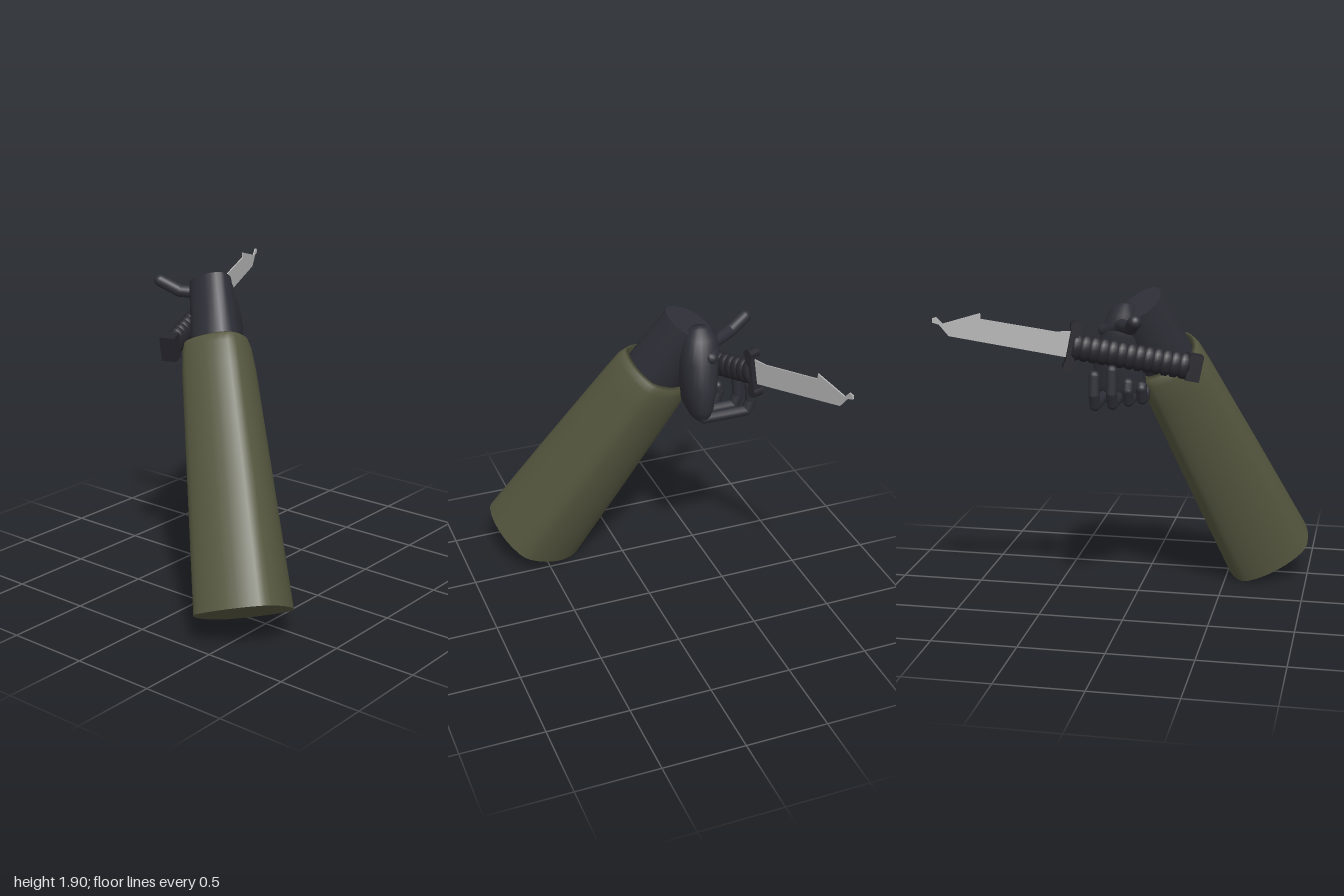
import * as THREE from 'three';

const V = (x, y, z) => new THREE.Vector3(x, y, z);
const mat = (name, color) => {
  const m = new THREE.MeshStandardMaterial({ color });
  m.name = name;
  return m;
};

// Skin of rings [centre, radius along u, radius along v]; p is the superellipse power
function loft(rings, u, v, p = 2, n = 24) {
  const pos = [], idx = [];
  const pw = (c) => Math.sign(c) * Math.pow(Math.abs(c), 2 / p);
  for (const [c, a, b] of rings) {
    for (let i = 0; i < n; i++) {
      const t = (i / n) * Math.PI * 2;
      const q = c.clone().addScaledVector(u, a * pw(Math.cos(t))).addScaledVector(v, b * pw(Math.sin(t)));
      pos.push(q.x, q.y, q.z);
    }
  }
  for (let r = 0; r < rings.length - 1; r++) {
    for (let i = 0; i < n; i++) {
      const a = r * n + i, b = r * n + ((i + 1) % n);
      idx.push(a, a + n, b, b, a + n, b + n);
    }
  }
  const g = new THREE.BufferGeometry();
  g.setAttribute('position', new THREE.Float32BufferAttribute(pos, 3));
  g.setIndex(idx);
  g.computeVertexNormals();
  return g;
}

export function createModel() {
  const model = new THREE.Group();
  model.name = 'armWithKnife';
  const olive = mat('olive cloth', 0x565840);
  const glove = mat('dark glove', 0x2e2e37);
  const grip = mat('black grip', 0x26262d);
  const steel = mat('steel', 0xb6b6b6);

  const add = (parent, name, geo, m) => {
    const mesh = new THREE.Mesh(geo, m);
    mesh.name = name;
    parent.add(mesh);
    return mesh;
  };

  // Forearm frame: axis runs from the elbow end up to the wrist
  const u = V(0.785, 0.5, 0.369).normalize();
  const v = V(-0.476, 0.136, 0.867).normalize();
  const axis = V(-0.411, 0.845, -0.345);
  const at = (t) => V(0.53, 0.165, 0.735).addScaledVector(axis, t);
  const ring = ([t, a, b]) => [at(t), a, b];

  // Sleeve with a closed elbow end and a turned-in cuff
  add(model, 'sleeve', loft([
    [0, 0, 0], [0, 0.325, 0.295], [0, 0.325, 0.295], [0.7, 0.29, 0.26], [1.4, 0.25, 0.225],
    [1.53, 0.24, 0.21], [1.58, 0.222, 0.195], [1.59, 0.198, 0.175], [1.48, 0.19, 0.165],
  ].map(ring), u, v, 1.55, 32), olive);

  // Wrist with a flat end
  add(model, 'wrist', loft([
    [1.4, 0.185, 0.15], [1.6, 0.182, 0.148], [1.96, 0.168, 0.122], [1.96, 0.168, 0.122], [1.96, 0, 0],
  ].map(ring), u, v, 1.75), glove);

  // Hand: palm lofted from the knuckles up to the wrist
  const hand = new THREE.Group();
  hand.name = 'hand';
  model.add(hand);
  add(hand, 'palm', loft([
    [V(-0.29, 1.27, -0.05), 0, 0],
    [V(-0.29, 1.28, -0.05), 0.05, 0.11],
    [V(-0.28, 1.36, -0.05), 0.08, 0.15],
    [V(-0.28, 1.5, -0.06), 0.1, 0.148],
    [V(-0.29, 1.65, -0.04), 0.11, 0.122],
    [V(-0.3, 1.78, -0.03), 0.1, 0.085],
    [V(-0.3, 1.83, -0.02), 0.05, 0.04],
    [V(-0.3, 1.835, -0.02), 0, 0],
  ], V(1, 0, 0), V(0, 0, 1), 2.2), glove);

  // Each digit is a chain of rounded segments
  const digit = (name, pts, r) => {
    const g = new THREE.Group();
    g.name = name;
    hand.add(g);
    for (let i = 0; i < pts.length - 1; i++) {
      const a = V(...pts[i]), b = V(...pts[i + 1]);
      const d = b.clone().sub(a);
      const m = add(g, 'segment', new THREE.CapsuleGeometry(r, d.length(), 5, 12), glove);
      m.position.copy(a).add(b).multiplyScalar(0.5);
      m.quaternion.setFromUnitVectors(V(0, 1, 0), d.normalize());
    }
  };
  const fingers = [
    ['indexFinger', -0.14, -0.575, 1.465], ['middleFinger', -0.05, -0.53, 1.49],
    ['ringFinger', 0.025, -0.44, 1.4], ['littleFinger', 0.09, -0.37, 1.37],
  ];
  for (const [name, z, x, tip] of fingers) {
    digit(name, [[-0.26, 1.35, z], [-0.29, 1.295, z], [x + 0.015, 1.295, z], [x - 0.01, 1.36, z], [x, tip, z]], 0.032);
  }
  digit('thumb', [[-0.33, 1.68, -0.13], [-0.38, 1.72, -0.03], [-0.52, 1.73, 0.055], [-0.635, 1.785, 0.1]], 0.038);

  // Knife handle frame: local +z runs from the guard back to the butt
  const knife = new THREE.Group();
  knife.name = 'knife';
  model.add(knife);
  const handle = new THREE.Group();
  handle.name = 'handle';
  knife.add(handle);
  const back = V(0.336, -0.215, 1).normalize();
  const side = V(0, 1, 0).cross(back).normalize();
  handle.quaternion.setFromRotationMatrix(
    new THREE.Matrix4().makeBasis(side, back.clone().cross(side), back));
  handle.position.set(-0.532, 1.62, -0.275);

  // Ribbed oval grip
  const ribs = 13, len = 0.67, profile = [new THREE.Vector2(0, 0)];
  for (let i = 0; i < ribs; i++) {
    for (const [f, r] of [[0, 0.86], [0.25, 1], [0.7, 1], [0.95, 0.86]]) {
      profile.push(new THREE.Vector2(r, ((i + f) / ribs) * len));
    }
  }
  profile.push(new THREE.Vector2(0, len));
  const gripGeo = new THREE.LatheGeometry(profile, 20);
  gripGeo.rotateX(Math.PI / 2);
  gripGeo.scale(0.054, 0.076, 1);
  add(handle, 'grip', gripGeo, grip);
  add(handle, 'butt', new THREE.BoxGeometry(0.09, 0.15, 0.08), grip).position.z = 0.7;

  // Cross guard with rounded, slightly swollen ends
  add(handle, 'guard', new THREE.BoxGeometry(0.07, 0.26, 0.045), grip);
  for (const s of [-1, 1]) {
    const end = add(handle, 'guardEnd', new THREE.CylinderGeometry(0.031, 0.031, 0.07, 12), grip);
    end.rotation.z = Math.PI / 2;
    end.position.y = s * 0.115;
  }

  // Clip-point blade drawn in its upright plane as (z, y)
  const outline = [
    [-0.27, 1.555], [-0.316, 1.561], [-0.917, 1.695], [-0.965, 1.76], [-1, 1.772], [-0.998, 1.795],
    [-0.976, 1.802], [-0.944, 1.765], [-0.75, 1.818], [-0.75, 1.786], [-0.36, 1.705], [-0.27, 1.705],
  ];
  const shape = new THREE.Shape(outline.map((p) => new THREE.Vector2(...p)));
  const bladeGeo = new THREE.ExtrudeGeometry(shape, { depth: 0.008, bevelEnabled: false });
  bladeGeo.translate(0, 0, -0.004);
  bladeGeo.applyMatrix4(new THREE.Matrix4()
    .makeBasis(V(0.336, 0, 1), V(0, 1, 0), V(-1, 0, 0.336))
    .setPosition(-0.44, 0, 0));
  add(knife, 'blade', bladeGeo, steel);

  return model;
}
